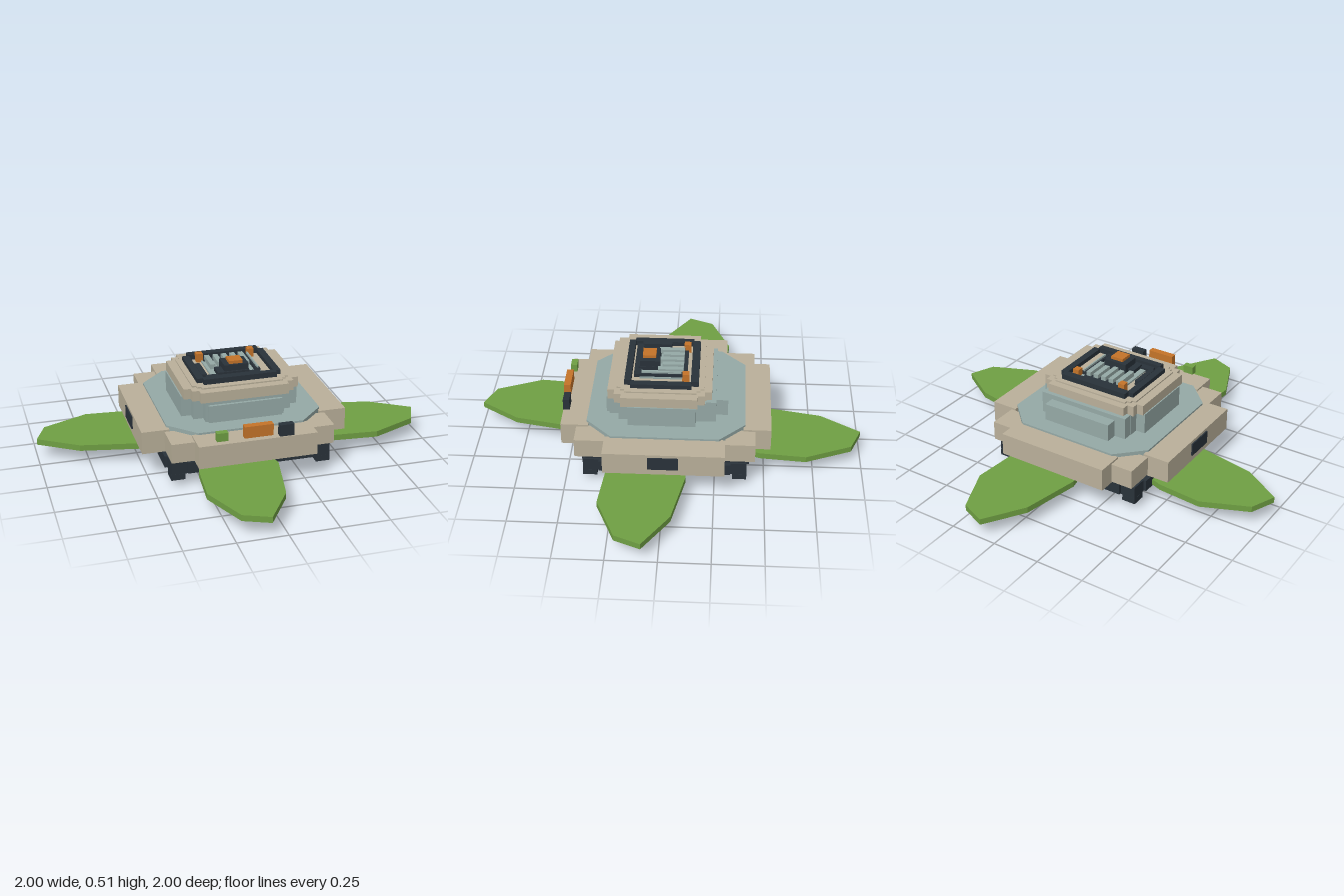
import * as THREE from 'three';

const mat = (name, color) => {
  const m = new THREE.MeshStandardMaterial({ color });
  m.name = name;
  return m;
};

export function createModel() {
  const root = new THREE.Group();
  root.name = 'petalStation';
  const beige = mat('beige', 0xbab09a);
  const sage = mat('greyTeal', 0x95a9a6);
  const dark = mat('charcoal', 0x29323a);
  const green = mat('leafGreen', 0x6f9f43);
  const orange = mat('orange', 0xc57429);
  const teal = mat('brightTeal', 0x4fa39d);

  const add = (name, geo, m, parent = root) => {
    const mesh = new THREE.Mesh(geo, m);
    mesh.name = name;
    parent.add(mesh);
    return mesh;
  };
  // Box given by its extents on each axis
  const box = (name, m, x0, x1, y0, y1, z0, z1, parent = root) => {
    const mesh = add(name, new THREE.BoxGeometry(x1 - x0, y1 - y0, z1 - z0), m, parent);
    mesh.position.set((x0 + x1) / 2, (y0 + y1) / 2, (z0 + z1) / 2);
    return mesh;
  };
  // Flat plate from an (x, z) outline, optionally with a hole
  const plate = (name, m, pts, y0, y1, hole, parent = root) => {
    const shape = new THREE.Shape(pts.map(p => new THREE.Vector2(...p)));
    if (hole) shape.holes.push(new THREE.Path(hole.map(p => new THREE.Vector2(...p))));
    const geo = new THREE.ExtrudeGeometry(shape, { depth: y1 - y0, bevelEnabled: false });
    geo.rotateX(Math.PI / 2);
    geo.translate(0, y1, 0);
    return add(name, geo, m, parent);
  };
  const rect = (x0, x1, z0, z1) => [[x0, z0], [x1, z0], [x1, z1], [x0, z1]];
  // Rectangle with two-step notched corners
  const stepped = (x, z0, z1, s) => [
    [-x + 2 * s, z0], [x - 2 * s, z0], [x - 2 * s, z0 + s], [x - s, z0 + s], [x - s, z0 + 2 * s], [x, z0 + 2 * s],
    [x, z1 - 2 * s], [x - s, z1 - 2 * s], [x - s, z1 - s], [x - 2 * s, z1 - s], [x - 2 * s, z1],
    [-x + 2 * s, z1], [-x + 2 * s, z1 - s], [-x + s, z1 - s], [-x + s, z1 - 2 * s], [-x, z1 - 2 * s],
    [-x, z0 + 2 * s], [-x + s, z0 + 2 * s], [-x + s, z0 + s], [-x + 2 * s, z0 + s]];

  // Four sides: leaf, beige wall and under-pad, each turned a quarter
  const leaf = [[0.0, 0.1], [0.07, 0.3], [0.11, 0.5], [0.05, 0.8], [-0.08, 1.0],
    [-0.21, 0.945], [-0.31, 0.71], [-0.29, 0.48], [-0.22, 0.28], [-0.07, 0.1]];
  for (let i = 0; i < 4; i++) {
    const side = new THREE.Group();
    side.name = 'side' + (i + 1);
    side.rotation.y = i * Math.PI / 2;
    root.add(side);
    plate('leaf', green, leaf, 0.077, 0.108, null, side);
    box('wall', beige, -0.3, 0.3, 0.143, 0.26, 0.39, 0.53, side);
    box('underPad', dark, -0.07, 0.07, 0.037, 0.07, 0.31, 0.4, side);
    box('frameBar', dark, -0.33, 0.33, 0.07, 0.13, 0.33, 0.425, side);
  }

  // Corner blocks and feet
  for (const sx of [-1, 1]) for (const sz of [-1, 1]) {
    const block = box('cornerBlock', beige, -0.0625, 0.0625, 0.15, 0.25, -0.075, 0.075);
    block.position.set(sx * 0.353, 0.2, sz * 0.375);
    const foot = box('foot', dark, -0.036, 0.036, 0.035, 0.066, -0.036, 0.036);
    foot.position.set(sx * 0.375, 0.05, sz * 0.375);
  }

  // Square base frame and the dark deck corners
  plate('baseFrame', dark, rect(-0.41, 0.41, -0.41, 0.41), 0.065, 0.13, rect(-0.3, 0.3, -0.3, 0.3));
  plate('deckCorners', dark, rect(-0.4, 0.4, -0.4, 0.4), 0.13, 0.2, rect(-0.29, 0.29, -0.29, 0.29));

  // Diagonal leaflets under the deck
  for (const s of [-1, 1]) {
    const leaflet = box('diagonalLeaflet', green, -0.18, 0.18, 0.066, 0.084, -0.03, 0.03);
    leaflet.rotation.y = -Math.PI / 4;
    leaflet.position.set(s * 0.26, 0.075, s * 0.26);
  }

  // Octagonal deck
  const o = 0.4, c = 0.27;
  plate('octagonDeck', sage, [[-c, -o], [c, -o], [o, -c], [o, c], [c, o], [-c, o], [-o, c], [-o, -c]], 0.13, 0.27);

  // Central hub below the deck
  plate('hubRim', sage, rect(-0.13, 0.13, -0.1, 0.125), 0.03, 0.07, rect(-0.1, 0.1, -0.07, 0.095));
  box('hubCore', dark, -0.1, 0.1, 0.04, 0.13, -0.07, 0.095);
  box('hubLens', teal, -0.08, 0.08, 0, 0.04, -0.042, 0.115);

  // Stepped upper tiers
  plate('upperBody', sage, stepped(0.303, -0.25, 0.29, 0.05), 0.27, 0.378);
  box('upperBodyBack', sage, -0.19, 0.19, 0.27, 0.36, -0.31, -0.24);
  box('upperBodyBackLip', sage, -0.25, 0.25, 0.27, 0.385, -0.25, -0.2);
  box('upperBodyFront', sage, -0.19, 0.19, 0.27, 0.36, 0.28, 0.305);
  plate('upperTier', beige, stepped(0.297, -0.228, 0.295, 0.035), 0.376, 0.43);
  plate('upperTierCap', beige, stepped(0.25, -0.19, 0.25, 0.02), 0.43, 0.437);

  // Dark frame on the roof
  box('roofFrameBack', dark, -0.19, 0.19, 0.435, 0.465, -0.16, -0.12);
  box('roofFrameFront', dark, -0.19, 0.19, 0.435, 0.465, 0.18, 0.213);
  for (const s of [-1, 1]) {
    box('roofFrameSide', dark, s * 0.2 - 0.018, s * 0.2 + 0.018, 0.435, 0.46, -0.125, 0.182);
    box('roofLamp', orange, s * 0.137 - 0.017, s * 0.137 + 0.017, 0.437, 0.483, -0.112, -0.076);
  }

  // Roof well: floor, slats and trim
  box('roofFloor', sage, -0.13, 0.13, 0.436, 0.446, -0.1, 0.14);
  box('roofTrimLeft', dark, 0.1, 0.125, 0.437, 0.462, -0.075, 0.14);
  box('roofTrimRight', dark, -0.182, -0.155, 0.437, 0.462, -0.01, 0.14);
  box('roofTrimFront', dark, -0.165, 0.12, 0.437, 0.456, 0.135, 0.17);
  box('roofTrimBack', dark, -0.12, 0.1, 0.437, 0.45, -0.1, -0.06);
  box('roofRail', sage, 0.11, 0.118, 0.44, 0.472, -0.07, 0.13);
  for (let i = 0; i < 5; i++) {
    const x = -0.1 + i * 0.045;
    box('slat', sage, x - 0.013, x + 0.013, 0.44, 0.472, -0.08, 0.05 - (i % 2) * 0.02);
  }

  // Roof turret
  box('turretFoot', dark, -0.1, 0.065, 0.437, 0.466, 0.07, 0.15);
  box('turret', dark, -0.065, 0.062, 0.437, 0.498, 0.042, 0.142);
  box('turretCap', orange, -0.036, 0.034, 0.49, 0.514, 0.062, 0.13);

  // Side panels and the front row of floating signs
  for (const s of [-1, 1]) box('sidePanel', dark, s * 0.53 - 0.007, s * 0.53 + 0.007, 0.177, 0.245, -0.073, 0.077);
  box('greenSign', green, -0.21, -0.153, 0.275, 0.318, 0.495, 0.528);
  box('orangeSign', orange, -0.075, 0.07, 0.28, 0.34, 0.502, 0.537);
  box('darkSign', dark, 0.106, 0.178, 0.263, 0.323, 0.497, 0.53);

  return root;
}
